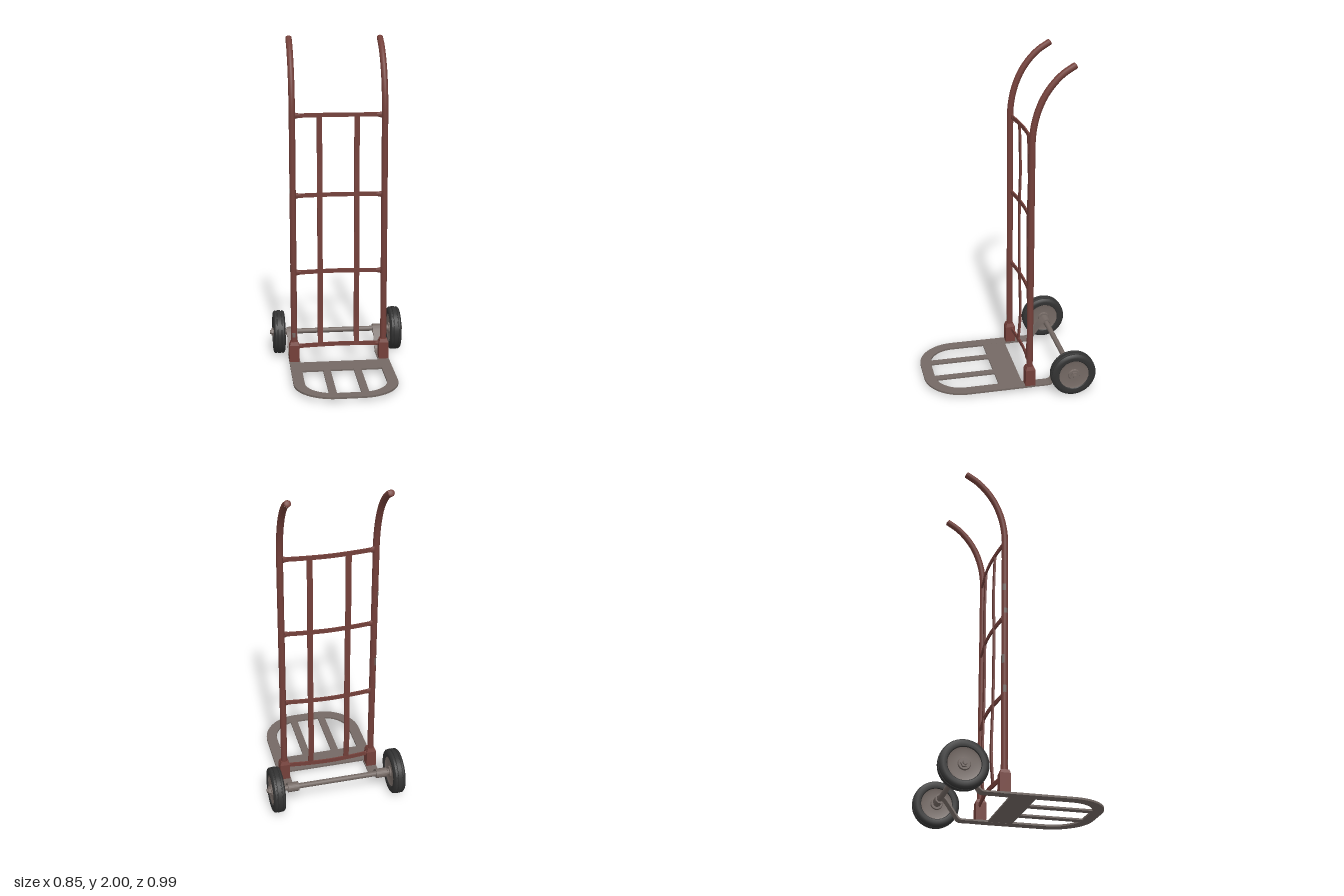
import * as THREE from 'three';
import { toCreasedNormals } from 'three/addons/utils/BufferGeometryUtils.js';

const mat = (name, color) => {
  const m = new THREE.MeshStandardMaterial({ color });
  m.name = name;
  return m;
};
const V2 = (x, y) => new THREE.Vector2(x, y);

// Strip of constant thickness that follows a 2D path, extruded to a width and centred
function band(points, thickness, width, samples = 32) {
  const curve = new THREE.SplineCurve(points.map(p => V2(p[0], p[1])));
  const a = [], b = [];
  for (let i = 0; i <= samples; i++) {
    const p = curve.getPoint(i / samples), t = curve.getTangent(i / samples);
    const n = V2(-t.y, t.x).multiplyScalar(thickness / 2);
    a.push(p.clone().add(n));
    b.unshift(p.clone().sub(n));
  }
  const g = new THREE.ExtrudeGeometry(new THREE.Shape([...a, ...b]), { depth: width, bevelEnabled: false });
  g.translate(0, 0, -width / 2);
  return toCreasedNormals(g, 0.6);
}

export function createModel() {
  const red = mat('rustRed', 0x74403a);
  const steel = mat('wornSteel', 0x746964);
  const rubber = mat('blackRubber', 0x323232);

  const root = new THREE.Group();
  root.name = 'handTruck';
  const frame = new THREE.Group();
  frame.name = 'frame';
  frame.position.x = -0.01;
  root.add(frame);

  const add = (parent, name, geo, material, x = 0, y = 0, z = 0) => {
    const m = new THREE.Mesh(geo, material);
    m.name = name;
    m.position.set(x, y, z);
    parent.add(m);
    return m;
  };

  const axleY = 0.137, axleZ = -0.36, plateY = 0.026;

  // Uprights with swept-back handles, feet and axle straps
  const path = new THREE.CatmullRomCurve3(
    [[0.03, -0.12], [0.8, -0.12], [1.5, -0.12], [1.6, -0.122], [1.7, -0.139], [1.8, -0.176],
      [1.88, -0.228], [1.94, -0.288], [1.982, -0.355]].map(p => new THREE.Vector3(0, p[0], p[1])));
  const strapPath = [[-0.1, plateY], [-0.17, plateY], [-0.23, plateY], [-0.252, 0.034], [-0.275, 0.066], [-0.32, 0.13]];
  for (let d = 40; d <= 290; d += 25) {
    const r = d * Math.PI / 180;
    strapPath.push([axleZ + 0.024 * Math.cos(r), axleY + 0.024 * Math.sin(r)]);
  }
  for (const s of [-1, 1]) {
    const x = s * 0.276;
    add(frame, 'upright', new THREE.TubeGeometry(path, 72, 0.019, 14), red, x);
    const cap = add(frame, 'handleEnd', new THREE.SphereGeometry(0.019, 14, 8), red, x, 1.982, -0.355);
    cap.rotation.x = -1;
    cap.scale.y = 0.35;
    add(frame, 'foot', new THREE.BoxGeometry(0.06, 0.105, 0.06), red, x, 0.0825, -0.12);
    const collar = new THREE.CylinderGeometry(0.03, 0.041, 0.022, 4).rotateY(Math.PI / 4);
    add(frame, 'footCollar', toCreasedNormals(collar, 0.3), red, x, 0.145, -0.12);
    add(frame, 'axleStrap', band(strapPath, 0.009, 0.066, 90).rotateY(-Math.PI / 2), steel, x - s * 0.002);
  }

  // Bowed cross bars with flared ends
  for (const y of [0.12, 0.59, 1.065, 1.545]) {
    const bow = band([[-0.272, -0.126], [-0.14, -0.14], [0, -0.147], [0.14, -0.14], [0.272, -0.126]], 0.009, 0.025);
    add(frame, 'crossBar', bow.rotateX(Math.PI / 2), red, 0, y);
    for (const s of [-1, 1]) {
      const flare = add(frame, 'crossBarEnd', new THREE.CylinderGeometry(0.012, 0.02, 0.032, 10), red, s * 0.245, y, -0.129);
      flare.rotation.z = s * Math.PI / 2;
      flare.scale.z = 0.45;
    }
  }

  // Slightly bent vertical slats
  const slat = band([[-0.139, 0.11], [-0.152, 0.3], [-0.145, 0.59], [-0.142, 0.8], [-0.142, 1.065],
    [-0.146, 1.27], [-0.139, 1.55]], 0.01, 0.032, 40).rotateY(-Math.PI / 2);
  for (const s of [-1, 1]) add(frame, 'backSlat', slat, red, s * 0.112);

  // Toe plate: rounded loop, wide panel and two bars
  const w = 0.307, wi = 0.241, back = -0.14;
  const loop = new THREE.Shape();
  loop.moveTo(-w, back);
  loop.lineTo(-w, 0.26);
  loop.absarc(-w + 0.23, 0.26, 0.23, Math.PI, Math.PI / 2, true);
  loop.absarc(w - 0.23, 0.26, 0.23, Math.PI / 2, 0, true);
  loop.lineTo(w, back);
  loop.lineTo(wi, back);
  loop.lineTo(wi, 0.265);
  loop.absarc(wi - 0.16, 0.265, 0.16, 0, Math.PI / 2, false);
  loop.absarc(-wi + 0.16, 0.265, 0.16, Math.PI / 2, Math.PI, false);
  loop.lineTo(-wi, back);
  loop.closePath();
  const loopGeo = new THREE.ExtrudeGeometry(loop, { depth: 0.011, bevelEnabled: false, curveSegments: 8 });
  add(frame, 'toePlateLoop', loopGeo.rotateX(Math.PI / 2), steel, 0, plateY + 0.0055);
  add(frame, 'toePlatePanel', new THREE.BoxGeometry(2 * wi, 0.01, 0.142), steel, 0, plateY, -0.009);
  for (const s of [-1, 1]) {
    add(frame, 'toePlateBar', new THREE.BoxGeometry(0.045, 0.01, 0.37), steel, s * 0.093, plateY, 0.245);
  }

  // Worn paint patches on one upright
  [[0.2, 5.6], [0.62, 4], [0.8, 3.4], [1.1, 4.2], [1.25, 3.7]].forEach(([y, a], i) => {
    const chip = new THREE.CylinderGeometry(0.0196, 0.0196, 0.03 + 0.012 * (i % 3), 5, 1, true, a, 1.1);
    add(frame, 'wornPatch', chip, steel, -0.276, y, -0.12);
  });

  // Axle
  const axle = add(root, 'axle', new THREE.CylinderGeometry(0.016, 0.016, 0.83, 16), steel, 0, axleY, axleZ);
  axle.rotation.z = Math.PI / 2;

  // Wheels, turned about y and laid on their sides
  const half = [[0.088, 0.027], [0.094, 0.034], [0.112, 0.037], [0.126, 0.034], [0.134, 0.026],
    [0.135, 0.018], [0.13, 0.016], [0.13, 0.012], [0.136, 0.01]];
  const tyreProfile = [...half.map(p => V2(p[0], -p[1])), ...half.slice().reverse().map(p => V2(p[0], p[1]))];
  const tyreGeo = toCreasedNormals(new THREE.LatheGeometry(tyreProfile, 40), 0.6);
  const hubProfile = [[0, -0.034], [0.032, -0.034], [0.036, -0.026], [0.078, -0.026], [0.09, -0.03],
    [0.09, 0.03], [0.078, 0.026], [0.036, 0.026], [0.032, 0.034], [0, 0.034]].map(p => V2(p[0], p[1]));
  const hubGeo = toCreasedNormals(new THREE.LatheGeometry(hubProfile, 32), 0.4);
  const nutGeo = toCreasedNormals(new THREE.CylinderGeometry(0.024, 0.024, 0.014, 6), 0.3);
  for (const s of [-1, 1]) {
    const wheel = new THREE.Group();
    wheel.name = 'wheel';
    wheel.position.set(s * 0.367, axleY, axleZ);
    wheel.rotation.z = -s * Math.PI / 2;
    root.add(wheel);
    add(wheel, 'tyre', tyreGeo, rubber);
    add(wheel, 'hub', hubGeo, steel);
    add(wheel, 'axleNut', nutGeo, steel, 0, 0.04, 0);
    add(wheel, 'axleTip', new THREE.CylinderGeometry(0.012, 0.015, 0.016, 12), steel, 0, 0.048, 0);
    add(wheel, 'spacer', new THREE.CylinderGeometry(0.02, 0.02, 0.012, 16), steel, 0, -0.04, 0);
  }
  return root;
}
